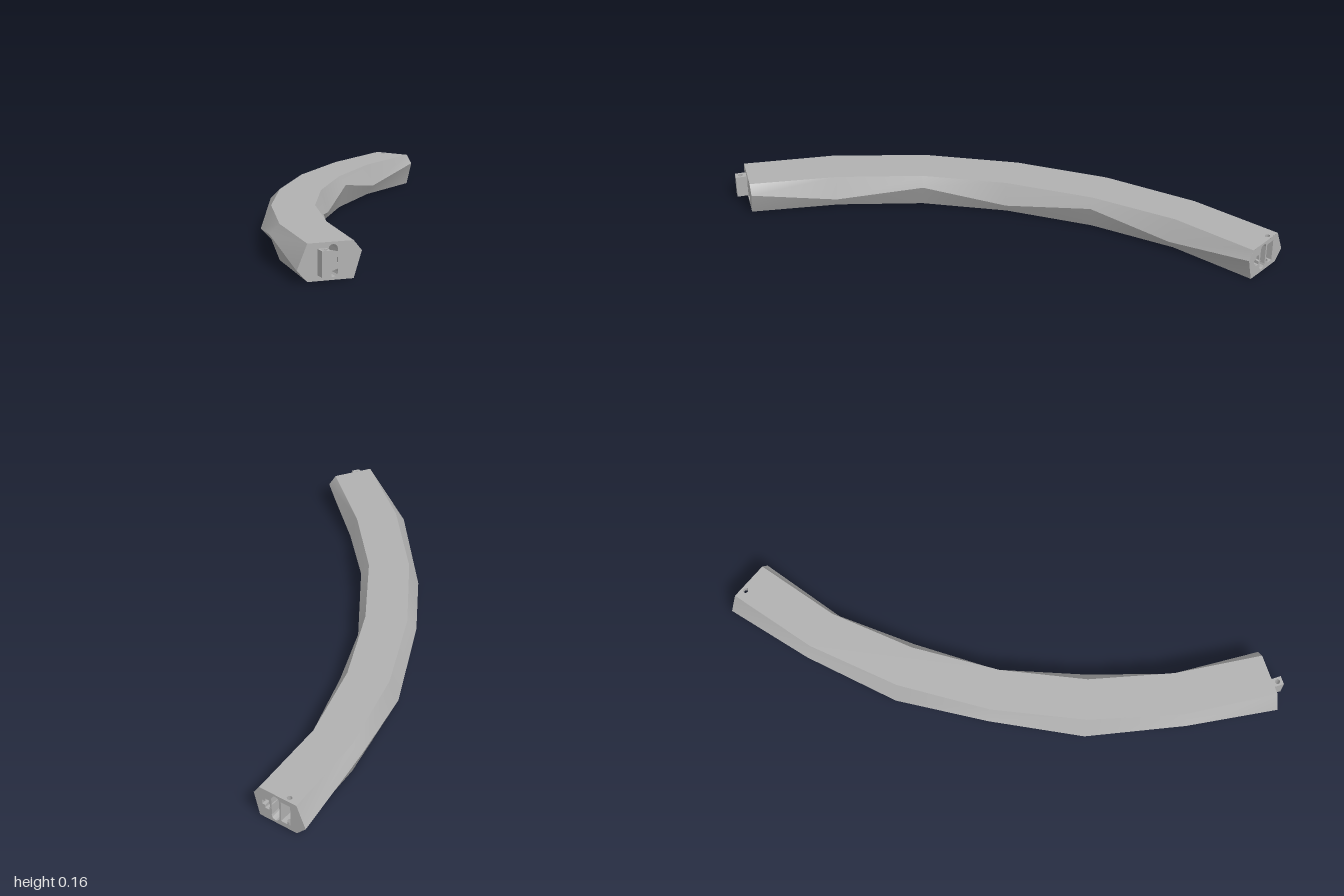
import * as THREE from 'three';

const H = 0.16;
const shell = new THREE.MeshStandardMaterial({ color: 0xb0b0b0, side: THREE.DoubleSide });
shell.name = 'light grey plastic';

// Plan positions [x, z] of the four long edges, section by section
const outerMid = [[-1, 0.907], [-0.83, 0.478], [-0.585, 0.062], [-0.28, -0.286], [0.075, -0.585], [0.479, -0.826], [0.918, -0.997]];
const outerTop = [[-0.955, 0.92], [-0.789, 0.495], [-0.548, 0.094], [-0.248, -0.254], [0.104, -0.553], [0.505, -0.789], [0.931, -0.952]];
const innerTop = [[-0.76, 0.977], [-0.596, 0.58], [-0.387, 0.217], [-0.11, -0.104], [0.222, -0.388], [0.586, -0.612], [0.988, -0.762]];
const innerMid = [[-0.7245, 0.987], [-0.57, 0.602], [-0.35, 0.233], [-0.083, -0.083], [0.243, -0.361], [0.596, -0.575], [0.997, -0.733]];

// Side ridges zigzag between two heights, opposite on the two sides
const at = (line, yOf) => line.map(([x, z], i) => [x, yOf(i), z]);
const outerRidge = at(outerMid, i => (i % 2 ? 0.115 : 0.05));
const innerRidge = at(innerMid, i => (i % 2 ? 0.05 : 0.115));

function mesh(name, geometry, parent) {
  const m = new THREE.Mesh(geometry, shell);
  m.name = name;
  parent.add(m);
  return m;
}

// Band of quads between two edge lines, smooth along its length
function strip(a, b) {
  const index = [];
  for (let i = 0; i < a.length - 1; i++) {
    const k = 2 * i;
    index.push(k, k + 2, k + 3, k, k + 3, k + 1);
  }
  const g = new THREE.BufferGeometry();
  g.setAttribute('position', new THREE.Float32BufferAttribute(a.flatMap((p, i) => [...p, ...b[i]]), 3));
  g.setIndex(index);
  g.computeVertexNormals();
  return g;
}

const shapeOf = pts => new THREE.Shape(pts.map(([x, y]) => new THREE.Vector2(x, y)));

// Curved top or bottom plate with the round bore at the socket end
function plate(zSign) {
  const shape = shapeOf([...outerTop, ...[...innerTop].reverse()].map(([x, z]) => [x, zSign * z]));
  shape.holes.push(new THREE.Path().absarc(0.925, -0.895 * zSign, 0.012, 0, Math.PI * 2));
  return new THREE.ShapeGeometry(shape, 12).rotateX(zSign * Math.PI / 2);
}

// Recess outlines in (distance from outer ridge, height)
const rect = (x0, x1, y0, y1) => [[x0, y0], [x1, y0], [x1, y1], [x0, y1]];
function slot(cx, r, y0, y1) {
  const pts = [];
  for (let i = 0; i < 14; i++) {
    const a = Math.PI * (i < 7 ? i / 6 : 1 + (i - 7) / 6);
    pts.push([cx + r * Math.cos(a), (i < 7 ? y1 - r : y0 + r) + r * Math.sin(a)]);
  }
  return pts;
}
function plus(cx, cy, r, t) {
  return [[t, -r], [t, -t], [r, -t], [r, t], [t, t], [t, r], [-t, r], [-t, t], [-r, t], [-r, -t], [-t, -t], [-t, -r]]
    .map(([x, y]) => [cx + x, cy + y]);
}

// Walls and floor behind an opening; open pockets leave out level walls
function pocket(name, pts, depth, parent, open = false) {
  pts.forEach((p, i) => {
    const q = pts[(i + 1) % pts.length];
    if (open && p[1] === q[1]) return;
    mesh(name + 'Wall', strip([[...p, 0], [...q, 0]], [[...p, -depth], [...q, -depth]]), parent);
  });
  mesh(name + 'Floor', new THREE.ShapeGeometry(shapeOf(pts)).translate(0, 0, -depth), parent);
}

// End face; local x runs along the cap, local z points out of it
function endCap(i, dir, socket) {
  const cap = new THREE.Group();
  const o = outerMid[i], e = innerMid[i];
  const len = Math.hypot(e[0] - o[0], e[1] - o[1]);
  const u = [(e[0] - o[0]) / len, (e[1] - o[1]) / len];
  const along = p => (p[0] - o[0]) * u[0] + (p[1] - o[1]) * u[1];
  cap.position.set(o[0], 0, o[1]);
  cap.rotation.y = Math.atan2(-u[1] * dir, u[0] * dir);
  const flip = pts => pts.map(([x, y]) => [dir * x, y]);
  const a = along(outerTop[i]), b = along(innerTop[i]);
  const face = shapeOf(flip([[0, outerRidge[i][1]], [a, 0], [b, 0], [len, innerRidge[i][1]], [b, H], [a, H]]));
  const recesses = [
    ['longSlot', flip(slot(0.16, 0.021, 0.012, 0.15)), 0.22],
    ['crossHole', flip(plus(0.204, 0.083, 0.027, 0.011)), 0.2],
  ];
  if (socket) recesses.push(['socket', flip(rect(0.08, 0.13, 0.025, 0.135)), 0.065, true]);
  for (const [name, pts, depth, open] of recesses) {
    face.holes.push(new THREE.Path(pts.map(p => new THREE.Vector2(...p))));
    pocket(name, pts, depth, cap, open);
  }
  mesh('endFace', new THREE.ShapeGeometry(face), cap);
  return cap;
}

export function createModel() {
  const model = new THREE.Group();
  model.name = 'curvedSegment';

  // Body
  const level = (line, y) => at(line, () => y);
  mesh('topPlate', plate(-1), model).position.y = H;
  mesh('bottomPlate', plate(1), model);
  mesh('outerUpperSide', strip(level(outerTop, H), outerRidge), model);
  mesh('outerLowerSide', strip(outerRidge, level(outerTop, 0)), model);
  mesh('innerLowerSide', strip(level(innerTop, 0), innerRidge), model);
  mesh('innerUpperSide', strip(innerRidge, level(innerTop, H)), model);

  // Ends
  const tabEnd = endCap(0, 1, false);
  tabEnd.name = 'tabEnd';
  const socketEnd = endCap(6, -1, true);
  socketEnd.name = 'socketEnd';
  model.add(tabEnd, socketEnd);

  // Connecting tab with a vertical pin hole
  const tabShape = shapeOf(rect(0.09, 0.132, -0.054, 0.002));
  tabShape.holes.push(new THREE.Path().absarc(0.111, -0.029, 0.012, 0, Math.PI * 2));
  const tab = new THREE.ExtrudeGeometry(tabShape, { depth: 0.11, bevelEnabled: false, curveSegments: 12 });
  mesh('connectingTab', tab.rotateX(-Math.PI / 2), tabEnd).position.y = 0.025;

  // Bore through the top and bottom plates into the socket
  for (const y of [0.0125, H - 0.0125]) {
    mesh('pinBore', new THREE.CylinderGeometry(0.012, 0.012, 0.025, 12, 1, true), model).position.set(0.925, y, -0.895);
  }
  return model;
}
